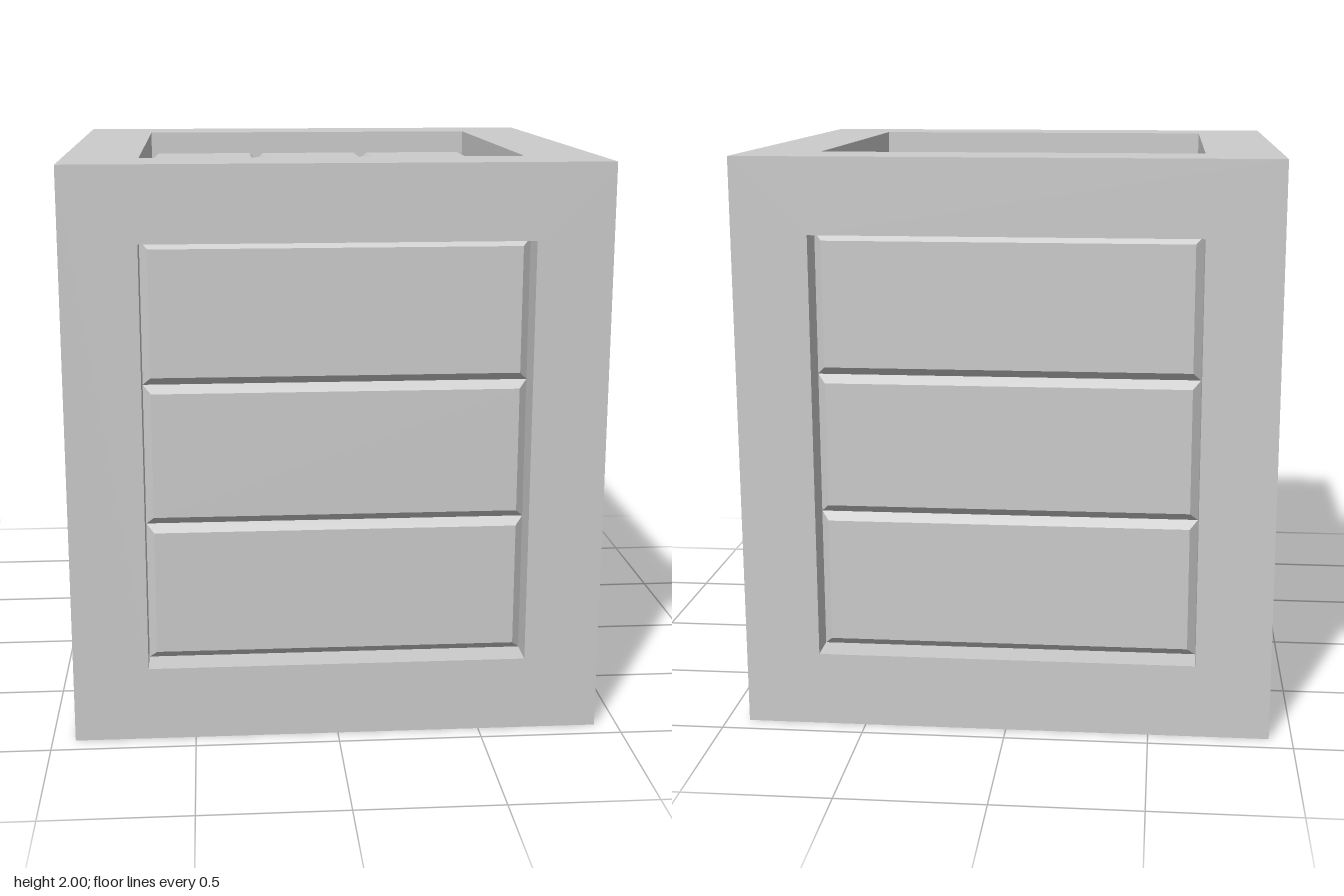
import * as THREE from 'three';

const HALF = [0.92, 1, 0.93]; // half size of the crate in x, y, z
const BEAM = 0.26;            // width of the frame beams
const RECESS = 0.085;         // how far the planks sit behind the frame face
const BEVEL = 0.028;
const THICK = 0.12;           // plank thickness

const material = new THREE.MeshStandardMaterial({ color: 0xcccccc, flatShading: true });

// Hollow frame: each of the six faces is a flat ring plus the walls of its opening
function frameGeometry() {
  const positions = [];
  const inner = HALF.map((h) => h - BEAM);
  const corners = [[-1, -1], [1, -1], [1, 1], [-1, 1]];
  for (let axis = 0; axis < 3; axis++) {
    const u = (axis + 1) % 3, v = (axis + 2) % 3;
    for (const side of [1, -1]) {
      const loop = (size, depth) => {
        const points = corners.map(([a, b]) => {
          const p = [0, 0, 0];
          p[axis] = side * depth;
          p[u] = a * size[u];
          p[v] = b * size[v];
          p[1] += HALF[1];
          return p;
        });
        return side > 0 ? points : points.reverse();
      };
      const rings = [loop(HALF, HALF[axis]), loop(inner, HALF[axis]), loop(inner, inner[axis])];
      for (let r = 0; r < 2; r++) {
        for (let k = 0; k < 4; k++) {
          const n = (k + 1) % 4;
          const a = rings[r][k], b = rings[r][n], c = rings[r + 1][n], d = rings[r + 1][k];
          positions.push(...a, ...b, ...c, ...a, ...c, ...d);
        }
      }
    }
  }
  const geometry = new THREE.BufferGeometry();
  geometry.setAttribute('position', new THREE.Float32BufferAttribute(positions, 3));
  geometry.computeVertexNormals();
  return geometry;
}

// Board with chamfered edges, its front face on z = 0
function plankGeometry(length, width) {
  const x = length / 2, y = width / 2;
  const shape = new THREE.Shape([
    new THREE.Vector2(-x, -y), new THREE.Vector2(x, -y),
    new THREE.Vector2(x, y), new THREE.Vector2(-x, y),
  ]);
  const geometry = new THREE.ExtrudeGeometry(shape, {
    depth: THICK - 2 * BEVEL, bevelEnabled: true, bevelSegments: 1,
    bevelSize: BEVEL, bevelOffset: -BEVEL, bevelThickness: BEVEL,
  });
  return geometry.translate(0, 0, BEVEL - THICK);
}

// Three planks side by side, facing +z
function createPanel(name, length, height) {
  const panel = new THREE.Group();
  panel.name = name;
  const width = height / 3;
  const geometry = plankGeometry(length, width);
  for (let i = -1; i <= 1; i++) {
    const plank = new THREE.Mesh(geometry, material);
    plank.name = 'plank';
    plank.position.y = i * width;
    panel.add(plank);
  }
  return panel;
}

export function createModel() {
  const crate = new THREE.Group();
  crate.name = 'crate';

  const frame = new THREE.Mesh(frameGeometry(), material);
  frame.name = 'frame';
  crate.add(frame);

  const [x, y, z] = HALF.map((h) => h - RECESS);
  const opening = HALF.map((h) => 2 * (h - BEAM));

  // Upright panels; the side ones leave a narrow gap at each end
  const walls = [
    ['frontPanel', 0, 0, z], ['backPanel', Math.PI, 0, -z],
    ['leftPanel', Math.PI / 2, x, 0], ['rightPanel', -Math.PI / 2, -x, 0],
  ];
  for (const [name, turn, px, pz] of walls) {
    const panel = createPanel(name, opening[0], opening[1]);
    panel.rotation.y = turn;
    panel.position.set(px, HALF[1], pz);
    crate.add(panel);
  }

  // Lid and floor, with planks running front to back
  for (const [name, side] of [['topPanel', 1], ['bottomPanel', -1]]) {
    const panel = createPanel(name, opening[2], opening[0]);
    panel.rotation.set(-side * Math.PI / 2, 0, Math.PI / 2);
    panel.position.y = HALF[1] + side * y;
    crate.add(panel);
  }
  return crate;
}
